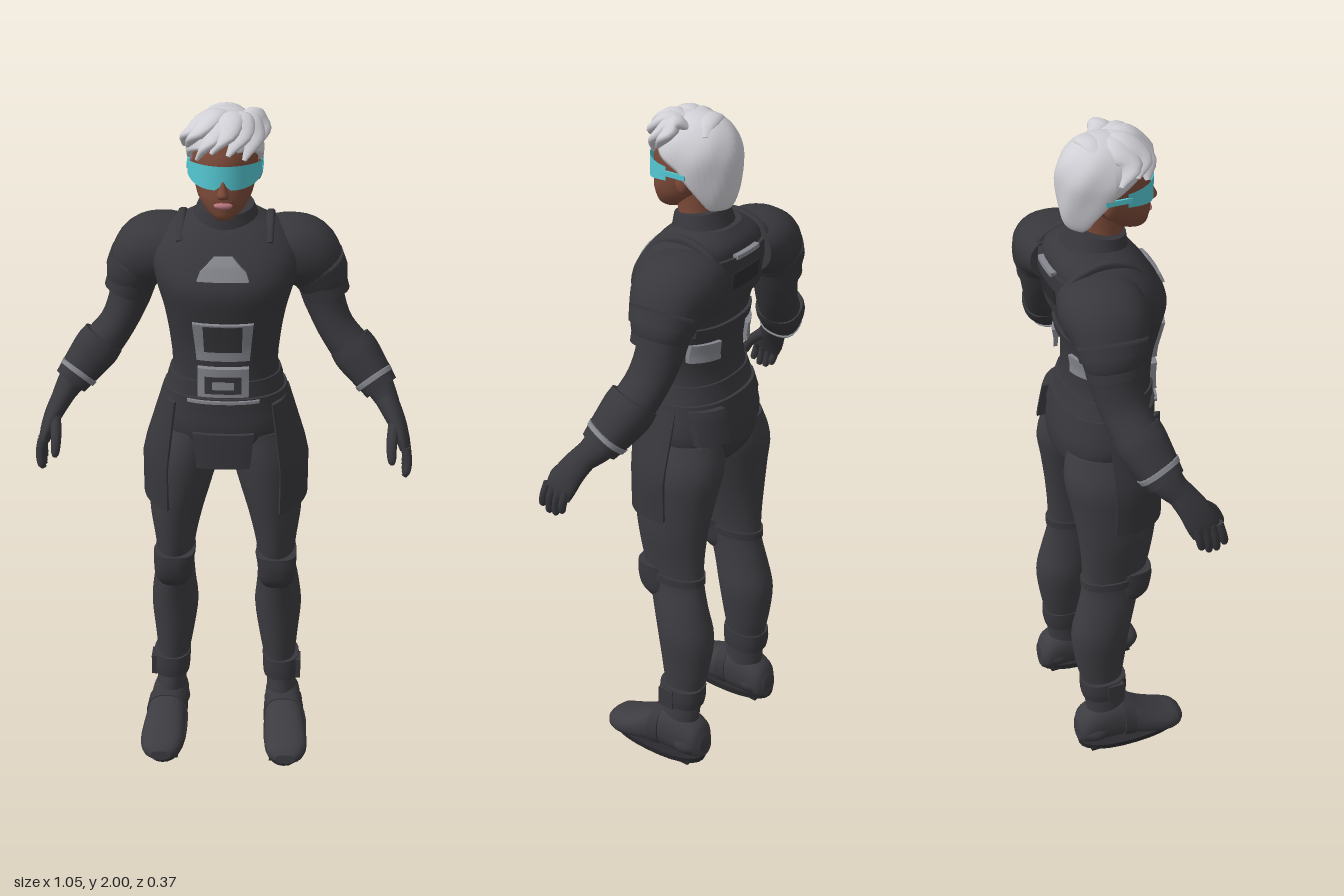
import * as THREE from 'three';

const V = (x, y, z) => new THREE.Vector3(x, y, z);
const X = V(1, 0, 0), Y = V(0, 1, 0), Z = V(0, 0, 1);
const material = (name, color) => Object.assign(new THREE.MeshStandardMaterial({ color }), { name });

// Smooth capped skin through rows of [x, y, z, a, b]; sections face T, or follow the path when T is null
function loft(rows, { ref = Z, T = Y, n = 24, p = 2, sub = 4 } = {}) {
  const centre = new THREE.CatmullRomCurve3(rows.map(r => V(r[0], r[1], r[2])), false, 'catmullrom');
  const size = new THREE.CatmullRomCurve3(rows.map(r => V(r[3], r[4], 0)), false, 'catmullrom');
  const steps = (rows.length - 1) * sub, pos = [], idx = [];
  const ring = i => {
    const t = i / steps, c = centre.getPoint(t), s = size.getPoint(t), d = T || centre.getTangent(t);
    const v = ref.clone().addScaledVector(d, -ref.dot(d)).normalize(), u = v.clone().cross(d);
    for (let j = 0; j < n; j++) {
      const a = j / n * Math.PI * 2, co = Math.cos(a), si = Math.sin(a);
      const k = Math.pow(Math.abs(co) ** p + Math.abs(si) ** p, -1 / p);
      const q = c.clone().addScaledVector(u, s.x * k * co).addScaledVector(v, s.y * k * si);
      pos.push(q.x, q.y, q.z);
    }
    return c;
  };
  for (let i = 0; i <= steps; i++) ring(i);
  for (let i = 0; i < steps; i++) for (let j = 0; j < n; j++) {
    const a = i * n + j, b = i * n + (j + 1) % n;
    idx.push(a, b, a + n, b, b + n, a + n);
  }
  for (const i of [0, steps]) {
    const base = pos.length / 3, c = ring(i);
    pos.push(c.x, c.y, c.z);
    for (let j = 0; j < n; j++) {
      const a = base + j, b = base + (j + 1) % n;
      if (i) idx.push(base + n, a, b); else idx.push(base + n, b, a);
    }
  }
  const g = new THREE.BufferGeometry();
  g.setAttribute('position', new THREE.Float32BufferAttribute(pos, 3));
  g.setIndex(idx);
  g.computeVertexNormals();
  return g;
}

// Move every vertex by a rule
function warp(g, rule) {
  const a = g.attributes.position, v = V(0, 0, 0);
  for (let i = 0; i < a.count; i++) {
    rule(v.fromBufferAttribute(a, i));
    a.setXYZ(i, v.x, v.y, v.z);
  }
  g.computeVertexNormals();
  return g;
}

function mirrored(g) {
  const m = g.clone().scale(-1, 1, 1), i = m.index;
  for (let k = 0; k < i.count; k += 3) {
    const t = i.getX(k);
    i.setX(k, i.getX(k + 1));
    i.setX(k + 1, t);
  }
  return m;
}

const ball = (x, y, z, rx, ry, rz) => new THREE.SphereGeometry(1, 20, 14).scale(rx, ry, rz).translate(x, y, z);
const box = (x, y, z, w, h, d) => new THREE.BoxGeometry(w, h, d).translate(x, y, z);

const TORSO = [
  [0, 0.98, -0.02, 0.05, 0.08], [0, 1.03, -0.02, 0.15, 0.125], [0, 1.1, -0.015, 0.188, 0.14],
  [0, 1.18, -0.01, 0.175, 0.132], [0, 1.27, 0.003, 0.148, 0.118], [0, 1.36, 0.008, 0.153, 0.118],
  [0, 1.45, 0.012, 0.168, 0.135], [0, 1.53, 0.008, 0.19, 0.15], [0, 1.6, -0.012, 0.2, 0.138],
  [0, 1.66, -0.035, 0.16, 0.115], [0, 1.7, -0.04, 0.09, 0.075]];

function torsoZ(x, y, side) {
  let i = 0;
  while (i < TORSO.length - 2 && TORSO[i + 1][1] < y) i++;
  const A = TORSO[i], B = TORSO[i + 1], t = (y - A[1]) / (B[1] - A[1]);
  const [cz, rx, rz] = [2, 3, 4].map(k => A[k] + (B[k] - A[k]) * t);
  return cz + side * rz * Math.pow(Math.max(0, 1 - Math.abs(x / rx) ** 2.3), 1 / 2.3);
}

// Plate that follows the front (side 1) or back (side -1) of the torso; taper narrows its top
function hug(y, w, h, t, side = 1, lift = 0, taper = 0, x0 = 0) {
  return warp(new THREE.BoxGeometry(w, h, t, 10, 6, 1), v => {
    v.x = x0 + v.x * (1 - taper * (v.y / h + 0.5));
    v.y += y;
    v.z += side * lift + torsoZ(v.x, Math.max(v.y, 1.1), side);
  });
}

export function createModel() {
  const model = new THREE.Group();
  model.name = 'armouredFigure';
  const suit = material('suit', 0x3d3c41), armour = material('armour', 0x38373c), sole = material('sole', 0x2b2a2e);
  const metal = material('metal', 0x85878e), skin = material('skin', 0x7c4a39), lip = material('lip', 0xba7680);
  const hair = material('hair', 0xcfcfd5), glass = material('visorGlass', 0x55c8d3);
  glass.side = THREE.DoubleSide;
  const add = (name, g, m) => {
    const mesh = new THREE.Mesh(g, m);
    mesh.name = name;
    model.add(mesh);
  };
  const pair = (name, g, m) => {
    add(name + 'Left', g, m);
    add(name + 'Right', mirrored(g), m);
  };

  // Torso, collar and belt
  add('torso', loft(TORSO, { n: 40, p: 2.3 }), armour);
  add('collar', warp(loft([[0, 1.63, -0.03, 0.14, 0.1], [0, 1.675, -0.02, 0.1, 0.085], [0, 1.73, -0.014, 0.076, 0.072]]),
    v => { v.y -= 0.2 * (v.z + 0.02); }), armour);
  add('belt', loft([[0, 1.165, -0.01, 0.184, 0.142], [0, 1.21, -0.005, 0.172, 0.137]], { n: 40, p: 2.3 }), armour);
  add('waistBand', loft([[0, 1.235, -0.001, 0.162, 0.129], [0, 1.26, 0.002, 0.155, 0.125]], { n: 40, p: 2.3 }), armour);
  add('beltTrim', hug(1.203, 0.2, 0.008, 0.008, 1, 0.014), metal);
  add('frontFlap', hug(1.052, 0.15, 0.105, 0.014, 1, 0.008, -0.14), armour);

  // Chest, belly and back plates
  add('chestPlate', hug(1.574, 0.14, 0.022, 0.01, 1, 0.007, 0.12), metal);
  add('chestPlatePeak', hug(1.603, 0.123, 0.036, 0.01, 1, 0.007, 0.6), metal);
  add('bellyFrame', hug(1.385, 0.145, 0.112, 0.018, 1, 0.006, -0.14), metal);
  add('bellyInset', hug(1.397, 0.102, 0.08, 0.008, 1, 0.014, -0.05), armour);
  add('buckleFrame', hug(1.263, 0.14, 0.085, 0.02, 1, 0.008), metal);
  add('buckleInset', hug(1.257, 0.1, 0.05, 0.008, 1, 0.017), armour);
  add('buckleBar', hug(1.257, 0.06, 0.022, 0.008, 1, 0.02), metal);
  add('backPack', hug(1.575, 0.22, 0.13, 0.02, -1, 0.003), armour);
  add('backPackInset', hug(1.575, 0.12, 0.05, 0.008, -1, 0.011), sole);
  add('backPackTrim', hug(1.642, 0.1, 0.012, 0.016, -1, 0.01), metal);
  add('lowerBackBand', hug(1.425, 0.26, 0.025, 0.012, -1, 0.004), armour);
  pair('lowerBackPlate', hug(1.365, 0.075, 0.055, 0.012, -1, 0.012, 0, 0.1), metal);
  add('hipPouch', hug(1.15, 0.08, 0.1, 0.03, -1, 0.01, 0, 0.12), armour);
  pair('shoulderStrap', loft([[0.12, 1.635, 0.06, 0.016, 0.01], [0.12, 1.668, 0.01, 0.016, 0.012],
    [0.12, 1.68, -0.05, 0.016, 0.012], [0.12, 1.655, -0.12, 0.016, 0.012], [0.118, 1.61, -0.145, 0.016, 0.01]],
    { ref: X, T: null, p: 4 }), armour);

  // Hip panels wrapped around the outer thighs
  pair('hipPanel', warp(new THREE.BoxGeometry(1, 1, 0.012, 12, 8, 1), v => {
    const d = 0.5 - v.y, a = 0.42 + (v.x + 0.5) * 1.35, grow = Math.min(1, d * 1.7), o = v.z;
    const rx = 0.064 + 0.06 * grow + o, rz = 0.142 + o;
    v.set(0.108 + rx * Math.sin(a), 1.19 - 0.345 * d + 0.02 * (v.x + 0.5) * d, -0.02 + rz * Math.cos(a));
  }), armour);

  // Legs
  pair('leg', loft([
    [0.172, 0.09, -0.055, 0.044, 0.06], [0.172, 0.15, -0.06, 0.045, 0.063], [0.165, 0.24, -0.068, 0.047, 0.062],
    [0.16, 0.33, -0.072, 0.058, 0.077], [0.157, 0.44, -0.07, 0.07, 0.09], [0.156, 0.53, -0.052, 0.063, 0.09],
    [0.15, 0.62, -0.032, 0.054, 0.092], [0.148, 0.7, -0.02, 0.06, 0.102], [0.143, 0.8, -0.015, 0.077, 0.114],
    [0.13, 0.9, -0.015, 0.092, 0.128], [0.115, 1, -0.02, 0.103, 0.138], [0.095, 1.09, -0.018, 0.09, 0.125]], { n: 28 }), suit);
  pair('kneePad', loft([[0.153, 0.56, 0.012, 0.04, 0.04], [0.153, 0.59, 0.022, 0.054, 0.052],
    [0.153, 0.635, 0.026, 0.057, 0.058], [0.15, 0.672, 0.028, 0.06, 0.055]], { p: 2.8 }), armour);
  pair('kneeStrap', loft([[0.151, 0.63, -0.03, 0.059, 0.098], [0.15, 0.655, -0.028, 0.06, 0.1]]), armour);
  pair('ankleCuff', loft([[0.17, 0.195, -0.065, 0.054, 0.068], [0.17, 0.225, -0.067, 0.057, 0.071],
    [0.168, 0.262, -0.068, 0.056, 0.07]], { p: 2.4 }), armour);
  pair('ankleBuckle', box(0.222, 0.225, -0.045, 0.016, 0.065, 0.05), armour);

  // Boots
  pair('boot', loft([[0.175, 0.055, -0.155, 0.03, 0.038], [0.175, 0.072, -0.13, 0.05, 0.06], [0.177, 0.085, -0.06, 0.055, 0.076],
    [0.18, 0.08, 0, 0.057, 0.069], [0.186, 0.058, 0.06, 0.063, 0.051], [0.19, 0.042, 0.12, 0.065, 0.037],
    [0.19, 0.036, 0.162, 0.053, 0.029], [0.19, 0.032, 0.183, 0.03, 0.016]], { T: Z, ref: Y, p: 2.5 }), suit);
  pair('bootStrap', loft([[0.18, 0.082, -0.015, 0.061, 0.074], [0.182, 0.074, 0.02, 0.063, 0.067]], { T: Z, ref: Y, p: 2.4 }), armour);
  pair('heelGuard', ball(0.178, 0.058, -0.1, 0.06, 0.04, 0.058), armour);
  pair('bootSole', loft([[0.185, 0.005, 0.013, 0.064, 0.166], [0.186, 0.026, 0.013, 0.067, 0.17]], { p: 2.3, sub: 1 }), sole);
  for (let k = 0; k < 8; k++)
    pair('tread' + (k + 1), box(0.185, 0.005, -0.115 + k * 0.036, 0.09, 0.01, 0.022), sole);

  // Arms
  pair('arm', loft([[0.17, 1.59, -0.07, 0.085, 0.095], [0.245, 1.52, -0.078, 0.07, 0.08], [0.27, 1.44, -0.075, 0.058, 0.068],
    [0.305, 1.36, -0.06, 0.052, 0.063], [0.36, 1.29, -0.038, 0.056, 0.062], [0.425, 1.215, -0.002, 0.042, 0.05],
    [0.46, 1.165, 0.035, 0.03, 0.036]], { T: null }), armour);
  pair('pauldron', loft([[0.1, 1.595, -0.07, 0.068, 0.1], [0.16, 1.59, -0.07, 0.088, 0.114], [0.215, 1.57, -0.07, 0.096, 0.11],
    [0.258, 1.52, -0.075, 0.076, 0.09], [0.275, 1.475, -0.075, 0.062, 0.075]], { T: null, n: 32, p: 2.2 }), armour);
  pair('upperLame', loft([[0.245, 1.54, -0.073, 0.083, 0.098], [0.268, 1.5, -0.075, 0.075, 0.088]], { T: null, p: 2.2 }), armour);
  pair('lowerLame', loft([[0.262, 1.5, -0.075, 0.068, 0.08], [0.28, 1.45, -0.073, 0.064, 0.075]], { T: null, p: 2.2 }), armour);
  pair('forearmGuard', loft([[0.345, 1.315, -0.045, 0.061, 0.068], [0.368, 1.285, -0.035, 0.064, 0.07],
    [0.405, 1.24, -0.014, 0.056, 0.062], [0.438, 1.2, 0.006, 0.048, 0.052]], { T: null, p: 2.4 }), armour);
  pair('forearmTrim', loft([[0.412, 1.229, -0.009, 0.057, 0.063], [0.421, 1.218, -0.003, 0.055, 0.06]], { T: null, p: 2.4 }), metal);

  // Gloved hands
  pair('palm', loft([[0.45, 1.18, 0.028, 0.032, 0.036], [0.479, 1.13, 0.062, 0.026, 0.042], [0.498, 1.085, 0.085, 0.02, 0.046],
    [0.506, 1.055, 0.096, 0.014, 0.042]], { T: null }), armour);
  for (let k = 0; k < 4; k++) {
    const z = 0.064 + k * 0.022, tip = 1.0 - 0.015 * Math.sin(k * 1.05);
    pair('finger' + (k + 1), loft([[0.506, 1.075, z, 0.014, 0.013], [0.513, 1.04, z + 0.01, 0.012, 0.012],
      [0.51, tip + 0.01, z + 0.018, 0.011, 0.011], [0.504, tip, z + 0.019, 0.006, 0.006]], { T: null, n: 10 }), armour);
  }
  pair('thumb', loft([[0.475, 1.13, 0.085, 0.018, 0.018], [0.467, 1.09, 0.13, 0.015, 0.015], [0.468, 1.05, 0.152, 0.012, 0.012],
    [0.47, 1.035, 0.156, 0.006, 0.006]], { T: null, n: 10 }), armour);

  // Head and face
  add('neck', loft([[0, 1.66, -0.02, 0.062, 0.062], [0, 1.72, -0.005, 0.053, 0.057], [0, 1.8, 0, 0.055, 0.065]]), skin);
  add('head', loft([[0, 1.717, 0.088, 0.016, 0.018], [0, 1.728, 0.078, 0.034, 0.04], [0, 1.748, 0.06, 0.055, 0.063],
    [0, 1.78, 0.043, 0.073, 0.084], [0, 1.83, 0.023, 0.084, 0.1], [0, 1.88, 0.015, 0.086, 0.108],
    [0, 1.94, 0.003, 0.074, 0.095], [0, 1.975, 0, 0.04, 0.05]], { n: 32 }), skin);
  add('nose', loft([[0, 1.785, 0.125, 0.015, 0.014], [0, 1.795, 0.13, 0.016, 0.02], [0, 1.815, 0.125, 0.01, 0.016],
    [0, 1.85, 0.114, 0.007, 0.01]], { n: 14 }), skin);
  add('lips', ball(0, 1.764, 0.121, 0.025, 0.01, 0.012), lip);
  pair('ear', ball(0.086, 1.825, -0.012, 0.012, 0.03, 0.02), skin);

  // Wraparound visor with a notch over the nose
  add('visor', warp(new THREE.CylinderGeometry(1, 1, 1, 40, 2, true, -1.45, 2.9), v => {
    const s = v.x, side = Math.abs(s) ** 4;
    let y = 1.84 + v.y * (0.064 - 0.026 * side) + 0.006 * side;
    if (v.y < 0) y += 0.018 * Math.max(0, 1 - Math.abs(s) / 0.2);
    v.set(0.1 * s, y, 0.016 + 0.117 * v.z);
  }), glass);
  pair('visorArm', box(0.098, 1.846, 0.005, 0.006, 0.014, 0.07), glass);

  // Hair cap: long at the nape, cut back over the face
  add('hairCap', warp(new THREE.SphereGeometry(1, 48, 24), v => {
    const polar = Math.acos(THREE.MathUtils.clamp(v.y, -1, 1)), az = Math.atan2(v.x, v.z), c = Math.cos(az);
    const edge = c > 0 ? 1.85 + 0.05 * Math.min(1, c * 1.3) : 1.85 - 0.105 * Math.min(1, -c * 1.5);
    const end = Math.acos(THREE.MathUtils.clamp((edge - 1.88) / 0.14, -1, 1));
    const q = Math.min(1, polar / Math.PI / 0.9), a = q * end, inner = polar / Math.PI > 0.9 ? 0.75 : 1;
    const low = Math.max(0, (a - Math.PI / 2) / 1.3);
    const r = (low > 0 ? 1 - 0.22 * low ** 2 : Math.sin(a) ** 0.9) * inner
      * (1 + 0.02 * Math.sin(az * 7 + a * 4) * Math.sin(a) ** 2);
    const atPole = polar > 3.14 ? 0 : 1;
    v.set(0.104 * r * (1 - 0.22 * low) * Math.sin(az) * atPole, 1.88 + Math.cos(a) * (low > 0 ? 0.14 : 0.112),
      -0.006 + 0.12 * r * c * atPole);
  }), hair);

  // Fringe swept to one side, and short locks on the crown
  for (let k = 0; k < 7; k++) {
    const a = -1.25 + k * 0.42, s = Math.sin(a), c = Math.cos(a), e = a - 0.28, drop = 0.014 * Math.sin(k * 2.3);
    add('fringeLock' + (k + 1), loft([[0.035 + 0.02 * s, 1.966, -0.01, 0.015, 0.008],
      [0.02 + 0.055 * s, 1.974 + drop * 0.4, 0.06 * c, 0.034, 0.018], [0.09 * s, 1.938 + drop * 0.6, 0.1 * c + 0.004, 0.036, 0.017],
      [0.104 * Math.sin(e) - 0.004, 1.892 + drop, 0.119 * Math.cos(e) + 0.002, 0.007, 0.005]],
      { ref: Y, T: null, n: 14 }), hair);
  }
  for (let k = 0; k < 3; k++) {
    const z = -0.045 + k * 0.035;
    add('crownLock' + (k + 1), loft([[0.06, 1.95, z - 0.02, 0.01, 0.006], [0.02, 1.974, z, 0.03, 0.015],
      [-0.035, 1.968, z + 0.015, 0.03, 0.016], [-0.088, 1.925, z + 0.02, 0.008, 0.005]], { ref: Y, T: null, n: 14 }), hair);
  }
  return model;
}
